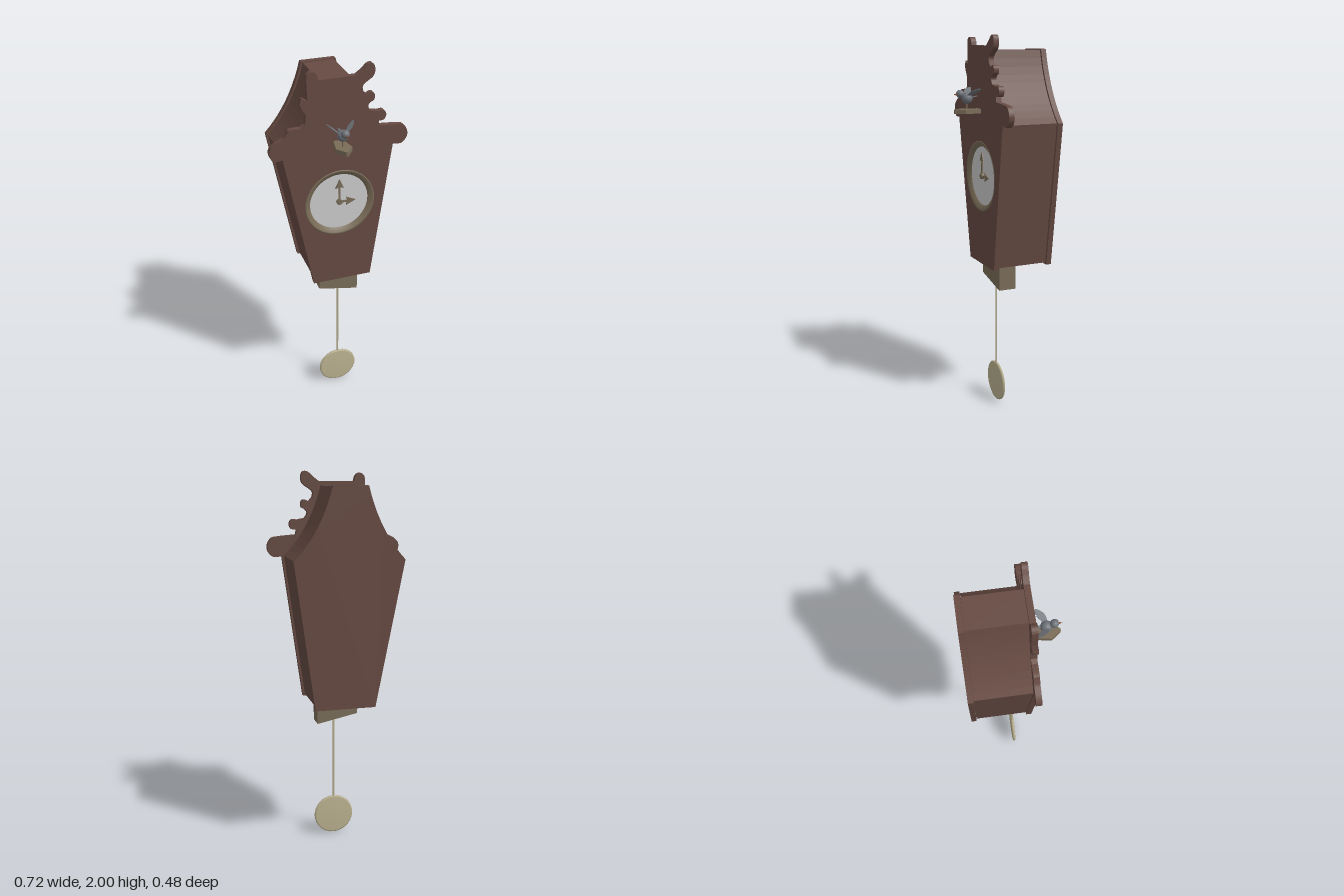
import * as THREE from 'three';

const mat = (color, side = THREE.FrontSide) => new THREE.MeshStandardMaterial({ color, side });
const wood = mat(0x664a42);
const bronze = mat(0x7a6d58, THREE.DoubleSide);
const brass = mat(0xbcb391);
const white = mat(0xcccccc);
const slate = mat(0x6e7379, THREE.DoubleSide);
const orange = mat(0x8f5434);

function add(parent, name, geometry, material, x = 0, y = 0, z = 0) {
  const mesh = new THREE.Mesh(geometry, material);
  mesh.name = name;
  mesh.position.set(x, y, z);
  parent.add(mesh);
  return mesh;
}

const extrude = (shape, depth) =>
  new THREE.ExtrudeGeometry(shape, { depth, bevelEnabled: false, curveSegments: 10 });

const polygon = (points) => new THREE.Shape(points.map(([x, y]) => new THREE.Vector2(x, y)));

// House outline: tapered sides, wide shoulders and concave roof slopes
function houseShape(inset) {
  const i = inset;
  const s = new THREE.Shape();
  s.moveTo(-0.145 + i, 0.8 + i);
  s.lineTo(0.175 - i, 0.8 + i);
  s.lineTo(0.28 - i, 1.565);
  s.quadraticCurveTo(0.137 - i, 1.71, 0.082 - i, 1.93 - i / 2);
  s.lineTo(-0.1 + i, 1.93 - i / 2);
  s.quadraticCurveTo(-0.155 + i, 1.71, -0.295 + i, 1.565);
  s.closePath();
  return s;
}

// Carved front board: each run is a smooth curve, with corners between runs
function frontShape() {
  const runs = [
    [[0.28, 1.565], [0.325, 1.562], [0.352, 1.59], [0.355, 1.625], [0.335, 1.658], [0.3, 1.667], [0.205, 1.675]],
    [[0.2, 1.7], [0.228, 1.705], [0.238, 1.73], [0.225, 1.753], [0.195, 1.752]],
    [[0.155, 1.76], [0.142, 1.785], [0.152, 1.803], [0.172, 1.815], [0.175, 1.84], [0.16, 1.855], [0.135, 1.845]],
    [[0.115, 1.865], [0.112, 1.89], [0.128, 1.908], [0.16, 1.93], [0.172, 1.95], [0.172, 1.98], [0.16, 1.998],
      [0.138, 1.995], [0.11, 1.97], [0.08, 1.948]],
    [[-0.11, 1.948], [-0.118, 1.975], [-0.138, 1.99], [-0.16, 1.98], [-0.168, 1.955], [-0.165, 1.85]],
    [[-0.195, 1.868], [-0.202, 1.835], [-0.185, 1.8], [-0.174, 1.775], [-0.18, 1.73]],
    [[-0.2, 1.716], [-0.255, 1.715], [-0.272, 1.695], [-0.29, 1.672], [-0.335, 1.648], [-0.358, 1.62],
      [-0.356, 1.585], [-0.335, 1.562], [-0.295, 1.565]],
  ];
  const s = new THREE.Shape();
  s.moveTo(-0.145, 0.8);
  s.lineTo(0.175, 0.8);
  for (const [first, ...rest] of runs) {
    s.lineTo(...first);
    s.splineThru(rest.map(([x, y]) => new THREE.Vector2(x, y)));
  }
  s.closePath();
  const hole = new THREE.Path();
  hole.absarc(0, 1.275, 0.18, 0, Math.PI * 2, true);
  s.holes.push(hole);
  return s;
}

function buildCase(parent) {
  add(parent, 'caseBody', extrude(houseShape(0.01), 0.277), wood, 0, 0, -0.211);
  add(parent, 'backBoard', extrude(houseShape(0), 0.028), wood, 0, 0, -0.24);
  add(parent, 'frontBoard', extrude(frontShape(), 0.029), wood, 0, 0, 0.066);
  // Slanted block under the case
  const block = polygon([[-0.098, 0.813], [-0.098, 0.715], [0.122, 0.67], [0.122, 0.813]]);
  add(parent, 'lowerBlock', extrude(block, 0.095), bronze, 0, 0, -0.055);
}

function buildDial() {
  const dial = new THREE.Group();
  dial.name = 'dial';
  dial.position.set(0, 1.275, 0);
  const profile = [[0.155, 0.076], [0.158, 0.084], [0.178, 0.095], [0.186, 0.097], [0.186, 0.09]]
    .map(([r, z]) => new THREE.Vector2(r, z));
  add(dial, 'dialRing', new THREE.LatheGeometry(profile, 48), bronze).rotation.x = Math.PI / 2;
  add(dial, 'dialFace', new THREE.CylinderGeometry(0.158, 0.158, 0.012, 48), white, 0, 0, 0.073)
    .rotation.x = Math.PI / 2;
  add(dial, 'handHub', new THREE.CylinderGeometry(0.015, 0.015, 0.014, 16), bronze, 0, 0, 0.086)
    .rotation.x = Math.PI / 2;
  // Hands with arrow heads
  const hand = (name, length, angle) => {
    const n = length - 0.045;
    const shape = polygon([[-0.005, 0], [0.005, 0], [0.005, n], [0.023, n - 0.006], [0, length],
      [-0.023, n - 0.006], [-0.005, n]]);
    add(dial, name, extrude(shape, 0.006), bronze, 0, 0, 0.083).rotation.z = angle;
  };
  hand('minuteHand', 0.13, 0);
  hand('hourHand', 0.087, -Math.PI / 2);
  return dial;
}

function buildPendulum() {
  const pendulum = new THREE.Group();
  pendulum.name = 'pendulum';
  pendulum.position.set(0.018, 0, 0.011);
  add(pendulum, 'rod', new THREE.CylinderGeometry(0.005, 0.005, 0.52, 10), brass, 0, 0.46, 0);
  const profile = [[0, -0.009], [0.1, -0.008], [0.109, -0.004], [0.109, 0.004], [0.1, 0.008], [0, 0.009]]
    .map(([r, z]) => new THREE.Vector2(r, z));
  add(pendulum, 'bob', new THREE.LatheGeometry(profile, 40), brass, 0, 0.11, 0).rotation.x = Math.PI / 2;
  return pendulum;
}

function buildBird() {
  const bird = new THREE.Group();
  bird.name = 'bird';
  bird.position.set(-0.012, 0, 0);
  // Pointed perch, drawn flat and tipped to lie level
  const board = polygon([[-0.022, 0.08], [0.022, 0.08], [0.042, 0.185], [0.006, 0.233], [-0.006, 0.233], [-0.042, 0.185]]);
  add(bird, 'perch', extrude(board, 0.022), bronze, 0, 1.628, 0).rotation.x = Math.PI / 2;
  add(bird, 'leg', new THREE.CylinderGeometry(0.004, 0.004, 0.045, 8), bronze, 0, 1.645, 0.165);
  add(bird, 'body', new THREE.SphereGeometry(0.029, 16, 12), slate, 0, 1.683, 0.163);
  add(bird, 'head', new THREE.SphereGeometry(0.021, 16, 12), slate, 0, 1.706, 0.2);
  add(bird, 'beak', new THREE.ConeGeometry(0.006, 0.022, 8), orange, 0, 1.704, 0.228).rotation.x = Math.PI / 2;
  // Short tail
  add(bird, 'tail', new THREE.BoxGeometry(0.012, 0.004, 0.035), slate, 0, 1.69, 0.123).rotation.x = 0.2;
  // Raised wings with scalloped feather tips
  for (const side of [-1, 1]) {
    const wing = new THREE.Shape();
    wing.moveTo(0.016, -0.172);
    wing.quadraticCurveTo(0.05, -0.165, 0.058, -0.148);
    wing.quadraticCurveTo(0.072, -0.13, 0.069, -0.116);
    wing.quadraticCurveTo(0.062, -0.11, 0.058, -0.12);
    wing.quadraticCurveTo(0.052, -0.112, 0.048, -0.124);
    wing.quadraticCurveTo(0.042, -0.118, 0.038, -0.13);
    wing.quadraticCurveTo(0.032, -0.128, 0.03, -0.138);
    wing.lineTo(0.014, -0.15);
    wing.closePath();
    const geometry = extrude(wing, 0.004);
    geometry.rotateX(-Math.PI / 2);
    // Mirror by position and lift toward the tip
    const p = geometry.attributes.position;
    for (let i = 0; i < p.count; i++) {
      const x = p.getX(i);
      p.setXYZ(i, x * side, 1.682 + p.getY(i) + x * 0.7, p.getZ(i));
    }
    if (side < 0) {
      for (let i = 0; i < p.count; i += 3) {
        const a = new THREE.Vector3().fromBufferAttribute(p, i);
        p.setXYZ(i, p.getX(i + 2), p.getY(i + 2), p.getZ(i + 2));
        p.setXYZ(i + 2, a.x, a.y, a.z);
      }
    }
    geometry.computeVertexNormals();
    add(bird, side > 0 ? 'leftWing' : 'rightWing', geometry, slate);
  }
  return bird;
}

export function createModel() {
  const model = new THREE.Group();
  model.name = 'cuckooClock';
  buildCase(model);
  model.add(buildDial(), buildPendulum(), buildBird());
  return model;
}
